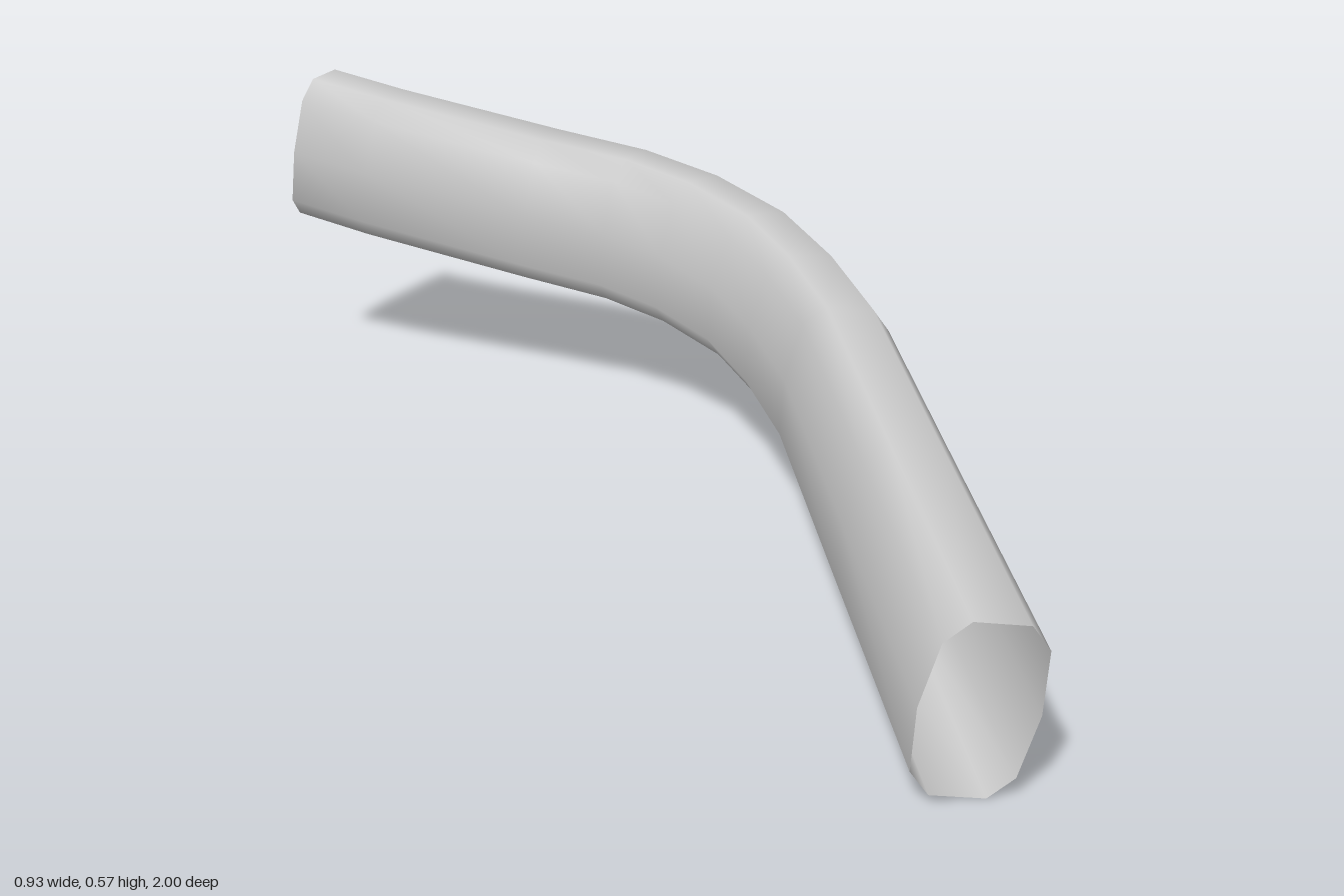
import * as THREE from 'three';

// Centre line from front to back: x, y, z, roll
const PATH = [
  [0.325, 0.147, 0.985, 0.145],
  [0.35, 0.198, 0.5, 0.145],
  [0.375, 0.248, 0.03, 0.14],
  [0.36, 0.272, -0.18, 0.12],
  [0.32, 0.298, -0.35, 0.09],
  [0.237, 0.325, -0.488, 0.06],
  [0.135, 0.346, -0.59, 0.03],
  [-0.01, 0.366, -0.685, 0],
  [-0.29, 0.416, -0.845, 0],
  [-0.415, 0.44, -0.93, 0],
];

// Tall ten-sided cross-section, counter-clockwise
const SECTION = [
  [0.087, 0], [0.075, 0.102], [0.041, 0.138], [-0.041, 0.138], [-0.075, 0.102],
  [-0.087, 0], [-0.075, -0.102], [-0.041, -0.138], [0.041, -0.138], [0.075, -0.102],
];

function sweep(path, section) {
  const centres = path.map(([x, y, z]) => new THREE.Vector3(x, y, z));
  const n = section.length, last = path.length - 1;
  const positions = [], index = [];
  centres.forEach((centre, i) => {
    // Tangent shared between the neighbouring segments
    const tangent = new THREE.Vector3();
    if (i > 0) tangent.add(centre.clone().sub(centres[i - 1]).normalize());
    if (i < last) tangent.add(centres[i + 1].clone().sub(centre).normalize());
    tangent.normalize();
    const side = new THREE.Vector3().crossVectors(tangent, new THREE.Vector3(0, 1, 0)).normalize();
    const up = new THREE.Vector3().crossVectors(side, tangent);
    side.applyAxisAngle(tangent, path[i][3]);
    up.applyAxisAngle(tangent, path[i][3]);
    section.forEach(([u, v], j) => {
      positions.push(...centre.clone().addScaledVector(side, u).addScaledVector(up, v));
      if (i === last) return;
      const a = i * n + j, b = i * n + (j + 1) % n;
      index.push(a, a + n, b, b, a + n, b + n);
    });
  });
  const geometry = new THREE.BufferGeometry();
  geometry.setAttribute('position', new THREE.Float32BufferAttribute(positions, 3));
  geometry.setIndex(index);
  geometry.computeVertexNormals();
  return geometry;
}

export function createModel() {
  const grey = new THREE.MeshStandardMaterial({ color: 0xcccccc, side: THREE.DoubleSide });
  grey.name = 'light grey';

  // Open-ended bent duct
  const duct = new THREE.Mesh(sweep(PATH, SECTION), grey);
  duct.name = 'bentTube';

  const model = new THREE.Group();
  model.name = 'bentDuct';
  model.add(duct);
  return model;
}
